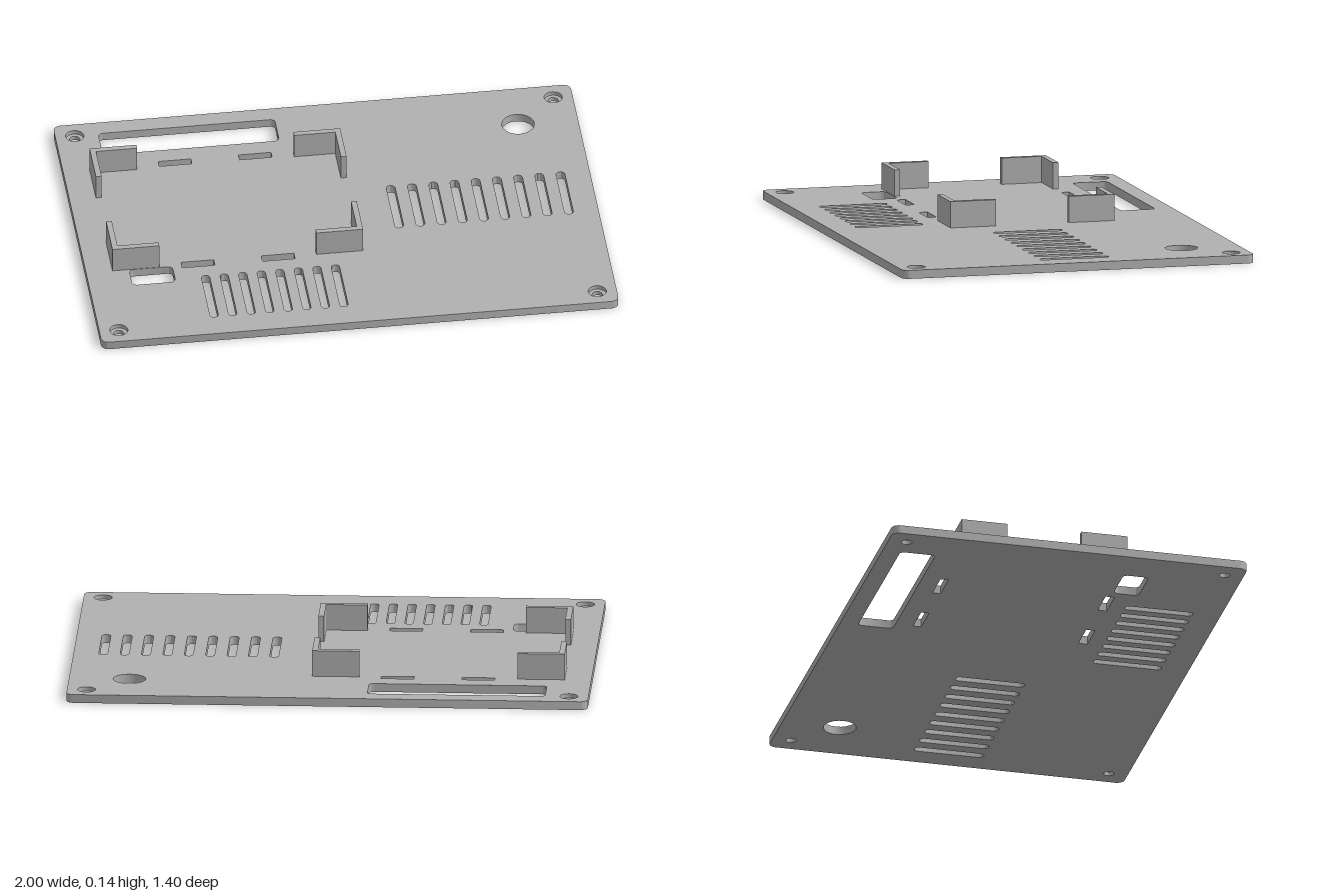
import * as THREE from 'three';
import { toCreasedNormals } from 'three/addons/utils/BufferGeometryUtils.js';

const T = 0.033; // plate thickness

// Outline given as x and z limits; shape y is -z so it lies flat after rotation
function roundRect(target, x0, x1, z0, z1, r) {
  const b = -z1, t = -z0;
  if (r === 0) {
    target.moveTo(x0, b).lineTo(x1, b).lineTo(x1, t).lineTo(x0, t).closePath();
    return target;
  }
  target.moveTo(x0 + r, b);
  target.absarc(x1 - r, b + r, r, -Math.PI / 2, 0);
  target.absarc(x1 - r, t - r, r, 0, Math.PI / 2);
  target.absarc(x0 + r, t - r, r, Math.PI / 2, Math.PI);
  target.absarc(x0 + r, b + r, r, Math.PI, Math.PI * 1.5);
  target.closePath();
  return target;
}

function circle(target, x, z, r) {
  target.absarc(x, -z, r, 0, Math.PI * 2);
  return target;
}

function slab(shape, height, y = 0) {
  const g = new THREE.ExtrudeGeometry(shape, { depth: height, bevelEnabled: false, curveSegments: 10 });
  g.rotateX(-Math.PI / 2).translate(0, y, 0);
  return toCreasedNormals(g, 0.6);
}

export function createModel() {
  const model = new THREE.Group();
  model.name = 'enclosurePanel';
  const grey = new THREE.MeshStandardMaterial({ color: 0xb0b0b0 });
  grey.name = 'grey plastic';
  const add = (geometry, name) => {
    const mesh = new THREE.Mesh(geometry, grey);
    mesh.name = name;
    model.add(mesh);
  };

  // Base plate with all its openings
  const plate = roundRect(new THREE.Shape(), -1, 1, -0.7, 0.7, 0.03);
  const cut = (...args) => plate.holes.push(roundRect(new THREE.Path(), ...args));
  cut(-0.834, -0.152, -0.63, -0.492, 0.018); // long window
  cut(-0.834, -0.667, 0.251, 0.35, 0.02); // small window
  plate.holes.push(circle(new THREE.Path(), 0.768, -0.474, 0.063)); // cable hole

  // Strap slots
  for (const x of [-0.63, -0.32]) {
    cut(x, x + 0.126, -0.422, -0.391, 0);
    cut(x, x + 0.126, 0.23, 0.265, 0);
  }
  // Side vents
  for (let i = 0; i < 9; i++) {
    const x = 0.23 + i * 0.082;
    cut(x - 0.017, x + 0.017, -0.15, 0.123, 0.017);
  }
  // Front vents
  for (let i = 0; i < 8; i++) {
    const x = -0.55 + i * 0.0717;
    cut(x - 0.016, x + 0.016, 0.326, 0.594, 0.014);
  }

  // Counterbored screw holes: a wide hole with a thin drilled seat at its bottom
  for (const x of [-0.925, 0.925]) {
    for (const z of [-0.627, 0.627]) {
      plate.holes.push(circle(new THREE.Path(), x, z, 0.035));
      const seat = circle(new THREE.Shape(), x, z, 0.035);
      seat.holes.push(circle(new THREE.Path(), x, z, 0.02));
      add(slab(seat, T / 2), 'screwSeat');
    }
  }
  add(slab(plate, T), 'basePlate');

  // L-shaped corner brackets, with arms pointing inward
  const arm = 0.181, w = 0.022;
  for (const [x, sx] of [[-0.898, 1], [0.071, -1]]) {
    for (const [z, sz] of [[-0.404, 1], [0.249, -1]]) {
      const points = [[0, 0], [arm, 0], [arm, w], [w, w], [w, arm], [0, arm]];
      const shape = new THREE.Shape(points.map(([a, b]) => new THREE.Vector2(x + sx * a, -(z + sz * b))));
      add(slab(shape, 0.102, T), 'cornerBracket');
    }
  }
  return model;
}
